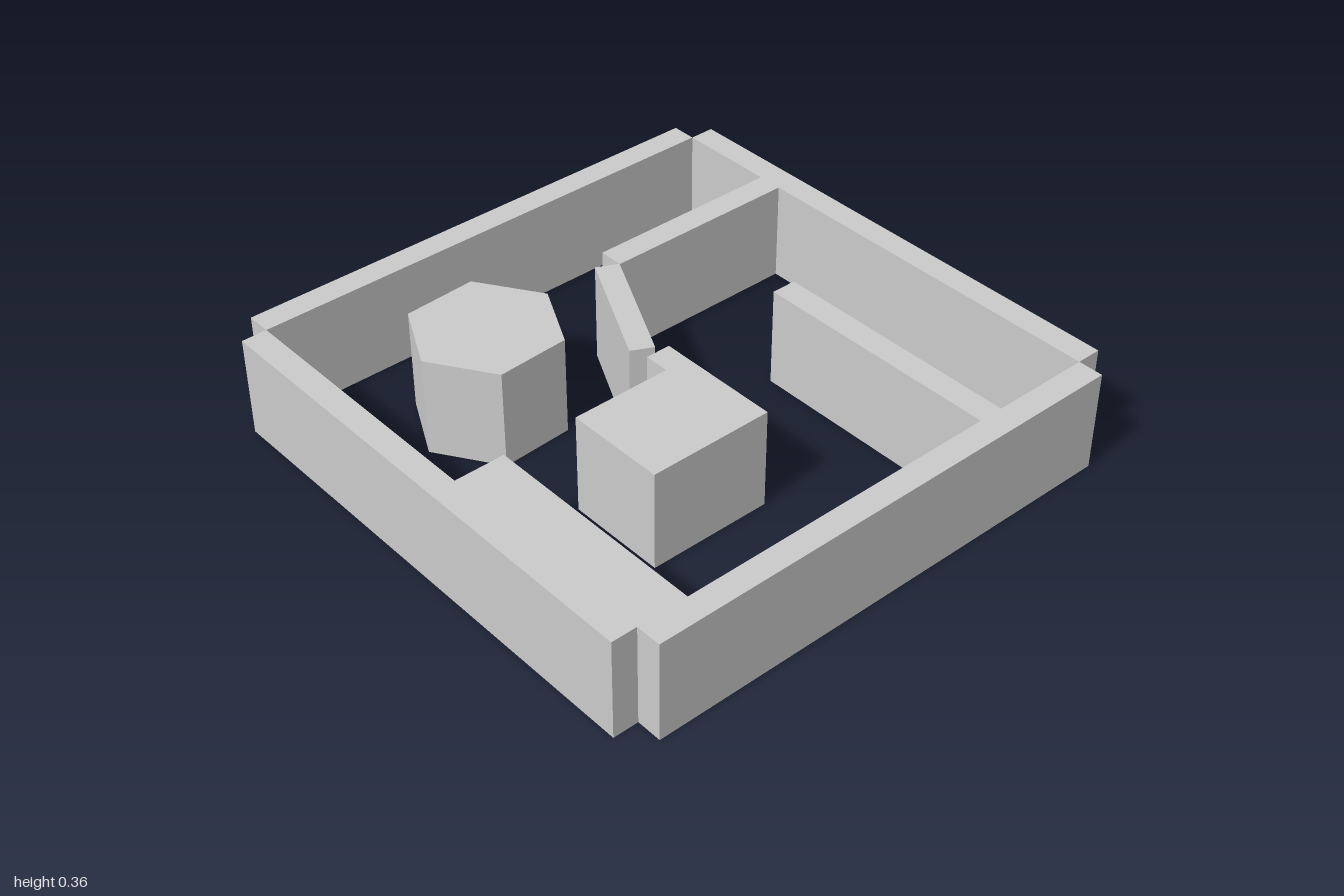
import * as THREE from 'three';

const U = 1 / 11;      // one wall thickness
const H = 4 * U;       // common wall height
const material = new THREE.MeshStandardMaterial({ color: 0xcccccc, flatShading: true });

export function createModel() {
  const model = new THREE.Group();
  model.name = 'floorPlan';

  function add(name, geometry, x, z, angle = 0) {
    const mesh = new THREE.Mesh(geometry, material);
    mesh.name = name;
    mesh.position.set(x, H / 2, z);
    mesh.rotation.y = THREE.MathUtils.degToRad(angle);
    model.add(mesh);
  }

  // Upright block given by its plan extents in wall thicknesses
  function wall(name, x0, x1, z0, z1) {
    add(name, new THREE.BoxGeometry((x1 - x0) * U, H, (z1 - z0) * U),
      (x0 + x1) / 2 * U, (z0 + z1) / 2 * U);
  }

  // Outer walls, meeting only at their corner edges
  wall('backWall', -10, 10, -11, -10);
  wall('frontWall', -10, 10, 10, 11);
  wall('rightWall', -11, -10, -10, 10);
  wall('leftWall', 10, 11, -10, 10);

  // Inner partitions
  wall('backPartition', 2, 10, -6, -5);
  wall('frontPartition', 5, 6, 0, 10);

  // Solid blocks
  wall('sideBlock', -10, -8, 1, 10);
  wall('centreBlock', -5, 0, 1, 5);
  wall('centreBlockStub', -1, 0, 0, 1);

  // Slanted panel leading off the back partition
  add('slantedPanel', new THREE.BoxGeometry(0.485, H, 0.084), 0.035, -0.259, 63.2);

  // Six-sided pillar
  add('hexagonalPillar', new THREE.CylinderGeometry(0.265, 0.265, H, 6), -0.372, -0.463, 33.2);

  return model;
}
